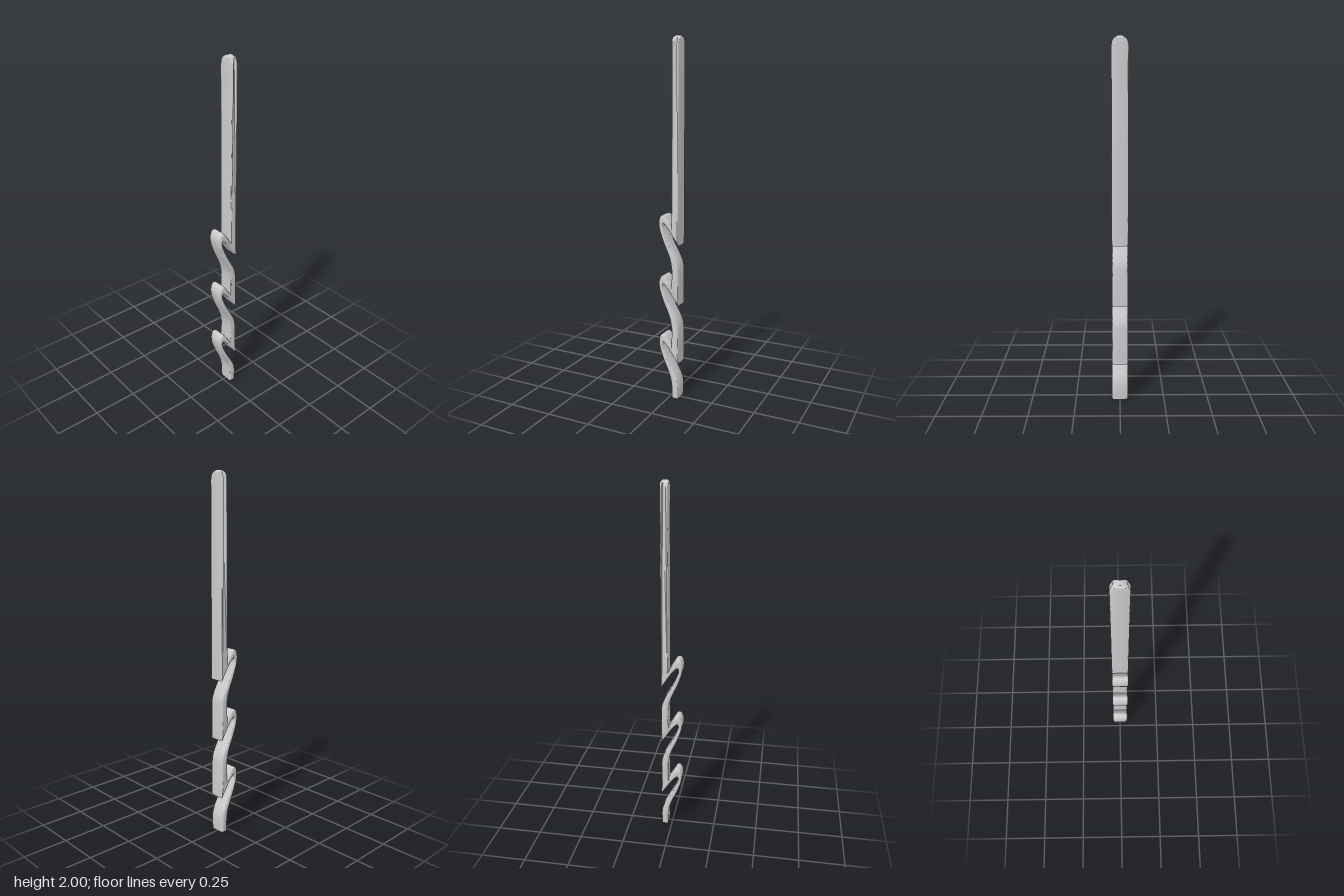
import * as THREE from 'three';
import { toCreasedNormals } from 'three/addons/utils/BufferGeometryUtils.js';

const HOOK_TOPS = [1.063, 0.721, 0.379];
const WIDTH = 0.09, BEVEL = 0.01;

// Side outline of one spring hook as [z, y below the hook's crest]
const OUTER = [[-0.019, -0.071], [0.012, -0.018], [0.023, -0.004], [0.036, 0], [0.05, -0.01], [0.059, -0.037],
  [0.058, -0.065], [0.05, -0.1], [0.03, -0.155], [0.005, -0.21], [-0.012, -0.26], [-0.019, -0.305]];
const INNER = [[-0.058, -0.166], [-0.03, -0.125], [0, -0.08], [0.025, -0.053], [0.033, -0.05], [0.037, -0.06],
  [0.034, -0.08], [0.015, -0.13], [-0.01, -0.18], [-0.04, -0.235], [-0.055, -0.275], [-0.059, -0.31]];

const smooth = (pts, top) =>
  new THREE.SplineCurve(pts.map(([z, y]) => new THREE.Vector2(z, top + y))).getPoints(44);

const line = (pts) => pts.map(([z, y]) => new THREE.Vector2(z, y));

function sideOutline() {
  const levels = [1.988, 1.978, 1.965, 1.95];
  const front = line([[-0.026, 2], ...levels.map((y) => [-0.018, y])]);
  const back = line([[-0.051, 2], ...levels.map((y) => [-0.06, y])]);
  for (const top of HOOK_TOPS) {
    front.push(...smooth(OUTER, top));
    back.push(...smooth(INNER, top));
  }
  front.push(new THREE.Vector2(-0.022, 0));
  back.push(new THREE.Vector2(-0.056, 0));
  return new THREE.Shape([...front, ...back.reverse()]);
}

export function createModel() {
  const model = new THREE.Group();
  model.name = 'hookedStrip';

  const geometry = new THREE.ExtrudeGeometry(sideOutline(), {
    depth: WIDTH - 2 * BEVEL,
    bevelEnabled: true, bevelThickness: BEVEL, bevelSize: BEVEL, bevelOffset: -BEVEL, bevelSegments: 4,
  });
  geometry.translate(0, 0, -(WIDTH / 2 - BEVEL));
  geometry.rotateY(-Math.PI / 2);

  // Narrow the upper end into a round tip
  const pos = geometry.attributes.position;
  for (let i = 0; i < pos.count; i++) {
    const t = Math.min(1, Math.max(0, (pos.getY(i) - 1.95) / 0.05));
    pos.setX(i, pos.getX(i) * Math.sqrt(1 - t * t));
  }

  const strip = new THREE.Mesh(
    toCreasedNormals(geometry, 0.6),
    new THREE.MeshStandardMaterial({ color: 0xcccccc }),
  );
  strip.name = 'springStrip';
  model.add(strip);
  return model;
}
